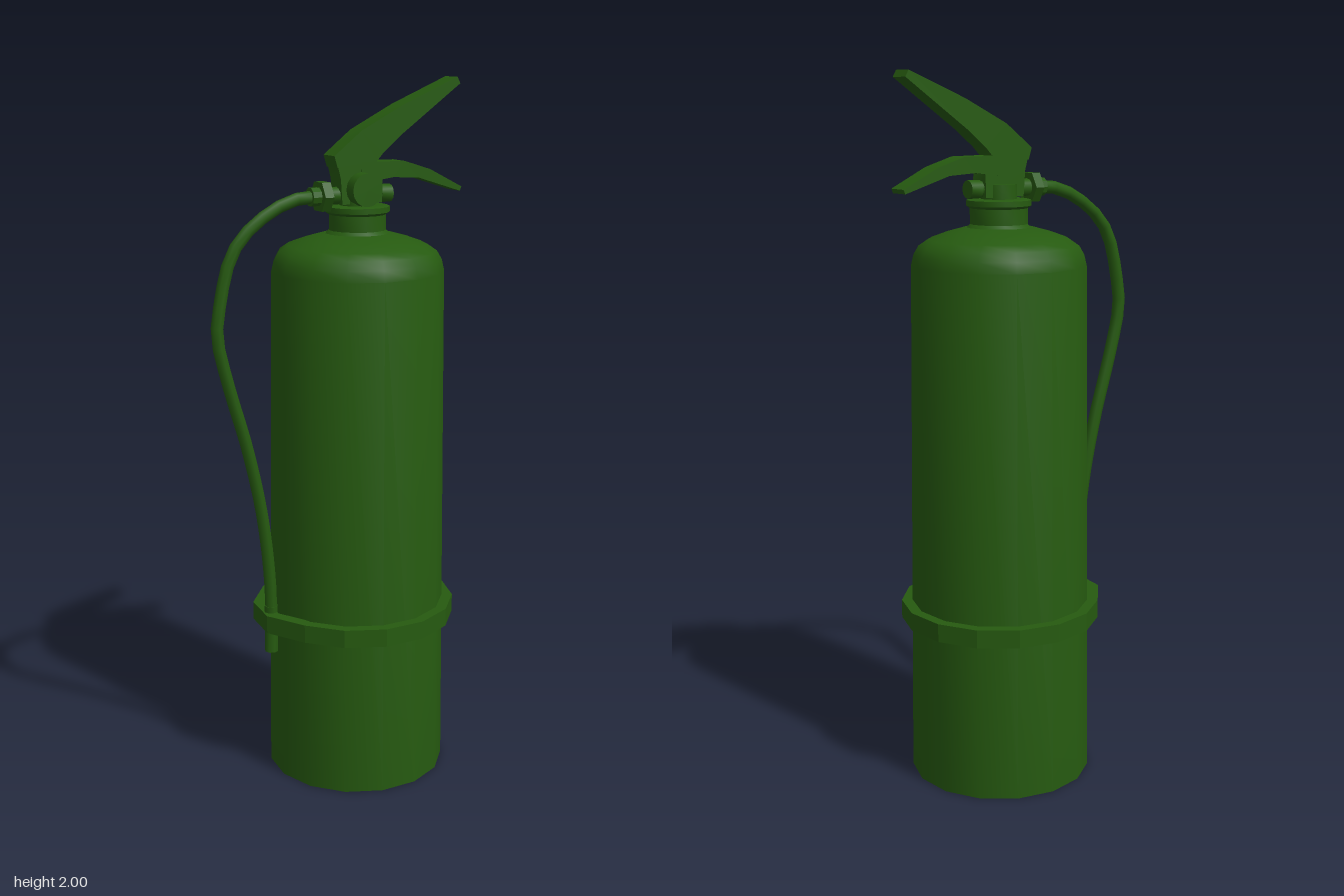
import * as THREE from 'three';
import { toCreasedNormals } from 'three/addons/utils/BufferGeometryUtils.js';

const CX = 0.063; // axis of the cylinder
const SIDES = 15;
const VALVE_Y = 1.688;

export function createModel() {
  const group = new THREE.Group();
  const material = new THREE.MeshStandardMaterial({ color: 0x265a10 });

  const add = (name, geometry, x = 0, y = 0, z = 0, crease = 0.6) => {
    const mesh = new THREE.Mesh(toCreasedNormals(geometry, crease), material);
    mesh.name = name;
    mesh.position.set(x, y, z);
    group.add(mesh);
    return mesh;
  };
  const vectors = (points) => points.map((p) => new THREE.Vector2(...p));
  const lathe = (points) => new THREE.LatheGeometry(vectors(points), SIDES, Math.PI);
  // Cylinder lying along x between two positions
  const rod = (name, x0, x1, r, sides) => add(name,
    new THREE.CylinderGeometry(r, r, x1 - x0, sides).rotateZ(Math.PI / 2), (x0 + x1) / 2, VALVE_Y);
  // Flat outline given a thickness centred on z = 0
  const plate = (name, outline, depth) => add(name,
    new THREE.ExtrudeGeometry(new THREE.Shape(vectors(outline)), { depth, bevelEnabled: false })
      .translate(0, 0, -depth / 2));

  // Tapered tank with rounded shoulder
  add('tank', lathe([
    [0, 0], [0.26, 0], [0.243, 1.48], [0.236, 1.51], [0.222, 1.534],
    [0.197, 1.551], [0.15, 1.568], [0.095, 1.583], [0, 1.583],
  ]), CX);

  // Neck with flange and valve stem
  add('neck', lathe([
    [0.097, 1.575], [0.08, 1.592], [0.08, 1.635], [0.09, 1.642],
    [0.09, 1.657], [0.078, 1.66], [0.05, 1.66], [0.05, 1.70], [0, 1.70],
  ]), CX);

  // Strap, stretched outward where it holds the hose
  const ring = (r) => Array.from({ length: SIDES }, (_, i) => {
    const a = ((i * 24 + 6) * Math.PI) / 180;
    const reach = i === 7 || i === 8 ? 1.09 : 1;
    return new THREE.Vector2(r * reach * Math.cos(a), -r * Math.sin(a));
  });
  const strapShape = new THREE.Shape(ring(0.285));
  strapShape.holes.push(new THREE.Path(ring(0.25)));
  add('strap', new THREE.ExtrudeGeometry(strapShape, { depth: 0.052, bevelEnabled: false })
    .rotateX(-Math.PI / 2), CX, 0.46, 0, 0.2);

  // Hose and its nozzle
  const hosePath = new THREE.CatmullRomCurve3([
    [-0.07, 1.688], [-0.12, 1.685], [-0.185, 1.664], [-0.275, 1.605],
    [-0.325, 1.54], [-0.362, 1.40], [-0.369, 1.33], [-0.338, 1.19],
    [-0.286, 1.01], [-0.243, 0.81], [-0.22, 0.6], [-0.218, 0.42],
  ].map(([x, y]) => new THREE.Vector3(x, y, 0)));
  const hose = new THREE.TubeGeometry(hosePath, 26, 0.018, 8);
  add('hose', hose, 0, 0, 0, 1);
  add('nozzle', new THREE.CylinderGeometry(0.02, 0.02, 0.14, 8), -0.218, 0.46, 0, 1);

  // Valve fittings along the hose outlet
  rod('hoseFerrule', -0.086, -0.058, 0.026, 10);
  rod('hoseNut', -0.06, -0.033, 0.045, 6);
  rod('valveTube', -0.035, 0.135, 0.024, 12);
  rod('valveCap', 0.13, 0.166, 0.025, 12);

  // Pressure gauge facing the front
  add('gauge', new THREE.CylinderGeometry(0.046, 0.046, 0.05, 16).rotateX(Math.PI / 2), 0.058, 1.705, 0.042);

  // Valve head and the two squeeze levers
  plate('valveHead', [[0, 1.665], [0.125, 1.665], [0.127, 1.735], [0.106, 1.775], [-0.016, 1.775], [-0.005, 1.735]], 0.058);
  plate('upperLever', [
    [-0.016, 1.765], [0.1, 1.755], [0.106, 1.778], [0.127, 1.8], [0.18, 1.844], [0.375, 1.982],
    [0.365, 2], [0.19, 1.928], [0.058, 1.862], [-0.026, 1.797],
  ], 0.062);
  plate('lowerLever', [
    [0.06, 1.72], [0.16, 1.733], [0.243, 1.728], [0.381, 1.685], [0.386, 1.697],
    [0.28, 1.75], [0.196, 1.776], [0.06, 1.778],
  ], 0.062);

  return group;
}
